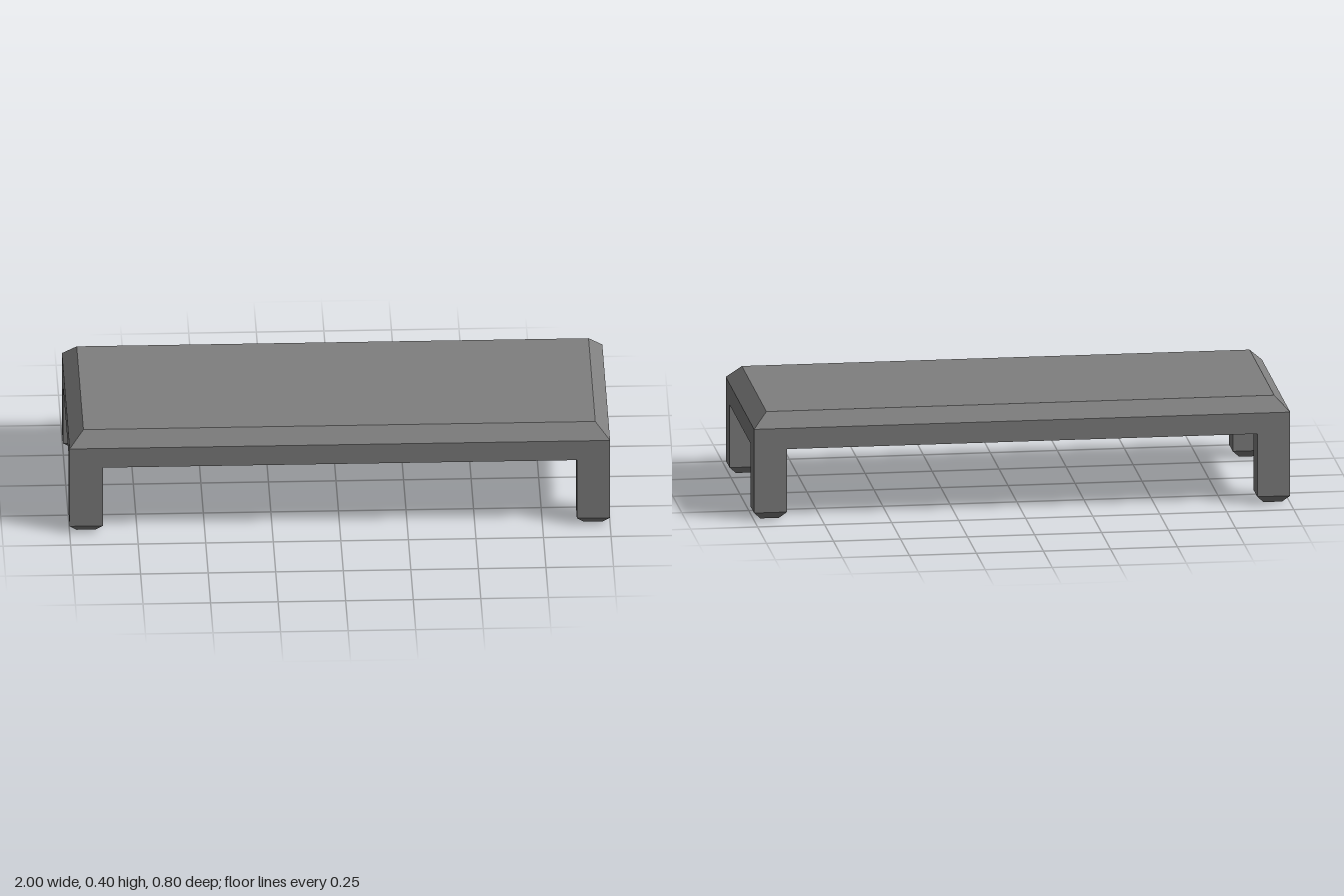
import * as THREE from 'three';

// Block with straight sides and one chamfered end: rows are [y, inset] from bottom to top.
function chamferedBlock(width, depth, rows) {
  const box = new THREE.BoxGeometry(width, 2, depth, 1, 2, 1);
  const p = box.attributes.position;
  for (let i = 0; i < p.count; i++) {
    const [y, inset] = rows[Math.round(p.getY(i)) + 1];
    const x = Math.sign(p.getX(i)) * (width / 2 - inset);
    const z = Math.sign(p.getZ(i)) * (depth / 2 - inset);
    p.setXYZ(i, x, y, z);
  }
  const flat = box.toNonIndexed();
  flat.computeVertexNormals();
  return flat;
}

export function createModel() {
  const group = new THREE.Group();
  group.name = 'lowTable';
  const grey = new THREE.MeshStandardMaterial({ color: 0x7f7f7f });
  grey.name = 'grey';

  // Table top with a chamfered upper edge
  const top = new THREE.Mesh(
    chamferedBlock(2, 0.8, [[0.268, 0], [0.347, 0], [0.4, 0.053]]), grey);
  top.name = 'tableTop';
  group.add(top);

  // Four corner legs with chamfered feet
  const legWidth = 0.123, legDepth = 0.108;
  const legGeometry = chamferedBlock(legWidth, legDepth, [[0, 0.027], [0.028, 0], [0.268, 0]]);
  for (const [sz, end] of [[1, 'front'], [-1, 'back']]) {
    for (const [sx, side] of [[1, 'Left'], [-1, 'Right']]) {
      const leg = new THREE.Mesh(legGeometry, grey);
      leg.name = `${end}${side}Leg`;
      leg.position.set(sx * (1 - legWidth / 2), 0, sz * (0.4 - legDepth / 2));
      group.add(leg);
    }
  }
  return group;
}
